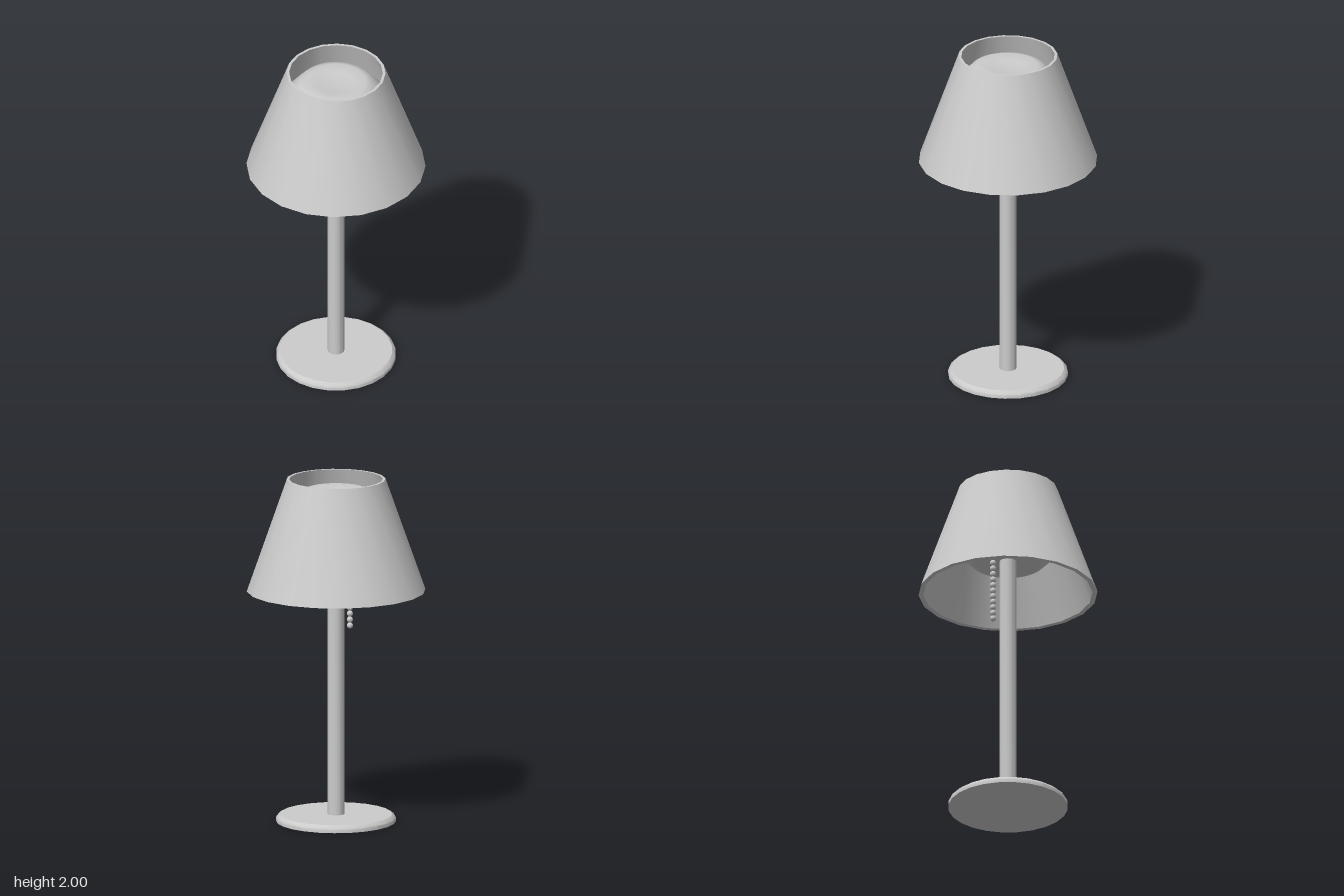
import * as THREE from 'three';
import { toCreasedNormals } from 'three/addons/utils/BufferGeometryUtils.js';

const material = new THREE.MeshStandardMaterial({ color: 0xcccccc });

// Turned part from [radius, height] pairs, running up the outside
function turned(name, profile, sides, start = 0, crease = 0.6) {
  const points = profile.map(([r, y]) => new THREE.Vector2(r, y));
  const lathe = new THREE.LatheGeometry(points, sides, start, Math.PI * 2);
  const mesh = new THREE.Mesh(toCreasedNormals(lathe, crease), material);
  mesh.name = name;
  return mesh;
}

export function createModel() {
  const lamp = new THREE.Group();
  lamp.name = 'tableLamp';
  const turn = THREE.MathUtils.degToRad(12);

  // Flat foot with a bevelled upper edge
  lamp.add(turned('base', [
    [0, 0], [0.343, 0], [0.343, 0.022], [0.338, 0.03], [0.322, 0.042], [0, 0.042],
  ], 24, turn));

  // Upright pole
  lamp.add(turned('pole', [[0, 0.03], [0.048, 0.03], [0.048, 1.56], [0, 1.56]], 20, turn));

  // Wide rounded bulb with shallow dished ends
  lamp.add(turned('bulb', [
    [0, 1.55], [0.1, 1.55], [0.17, 1.53], [0.21, 1.545], [0.26, 1.595], [0.3, 1.65],
    [0.32, 1.735],
    [0.3, 1.82], [0.255, 1.875], [0.21, 1.925], [0.17, 1.94], [0.1, 1.925], [0, 1.925],
  ], 40, 0, 1));

  // Open conical shade with wall thickness
  lamp.add(turned('shade', [
    [0.513, 1.35], [0.284, 2], [0.268, 2], [0.485, 1.35], [0.513, 1.35],
  ], 20, turn));

  // Beaded pull chain hanging beside the pole
  const chain = new THREE.Group();
  chain.name = 'pullChain';
  const beadGeometry = new THREE.SphereGeometry(0.018, 12, 8);
  for (let i = 0; i < 12; i++) {
    const bead = new THREE.Mesh(beadGeometry, material);
    bead.name = 'chainBead';
    bead.position.set(-0.11, 1.16 + i * 0.035, 0);
    chain.add(bead);
  }
  lamp.add(chain);

  return lamp;
}
